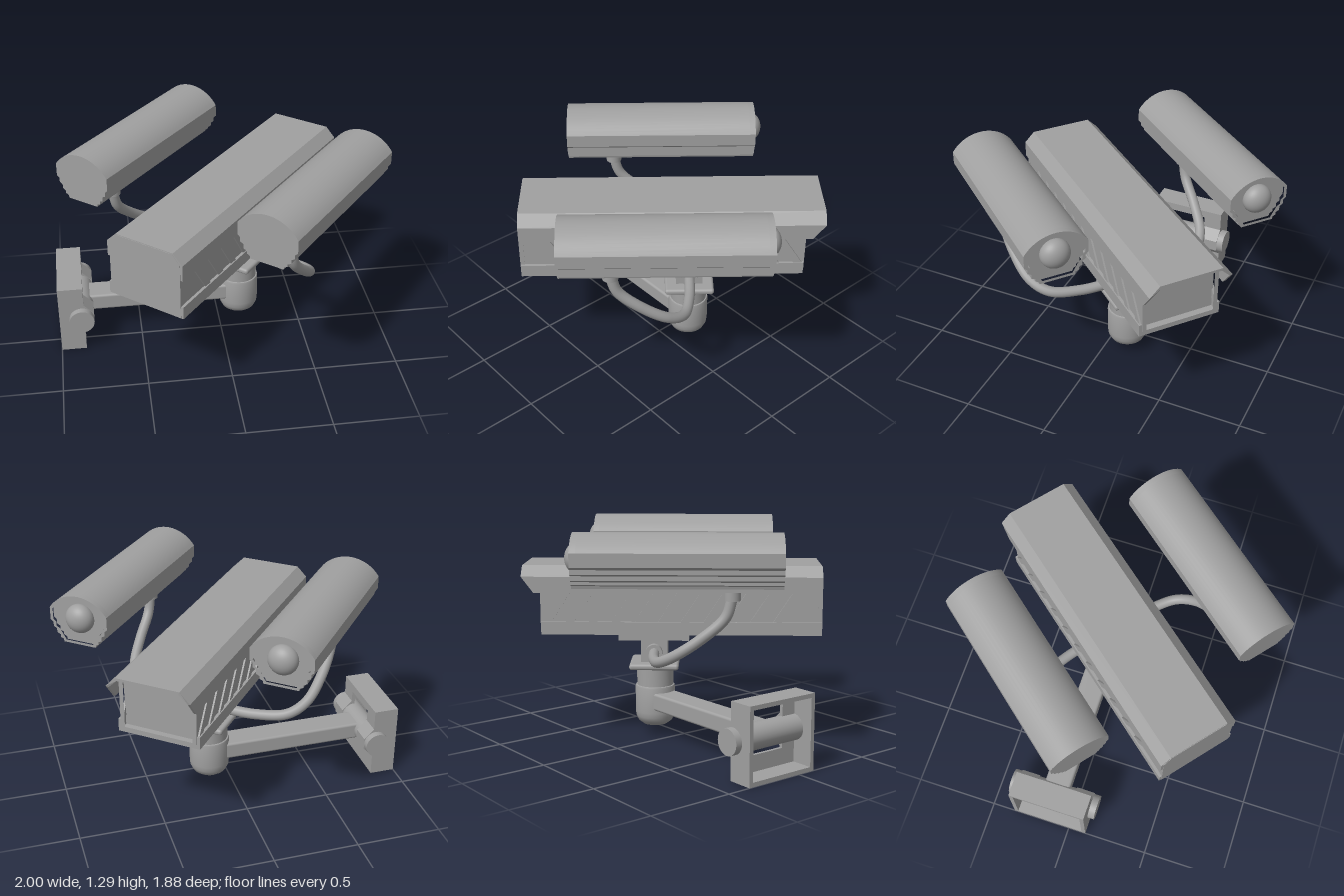
import * as THREE from 'three';
import { toCreasedNormals } from 'three/addons/utils/BufferGeometryUtils.js';
import { RoundedBoxGeometry } from 'three/addons/geometries/RoundedBoxGeometry.js';

const grey = new THREE.MeshStandardMaterial({ color: 0xa0a0a0 });

function add(parent, name, geometry, x = 0, y = 0, z = 0) {
  const mesh = new THREE.Mesh(geometry, grey);
  mesh.name = name;
  mesh.position.set(x, y, z);
  parent.add(mesh);
  return mesh;
}

const box = (w, h, d) => new THREE.BoxGeometry(w, h, d);
const cyl = (r, h) => new THREE.CylinderGeometry(r, r, h, 32);
const polygon = (pts) => new THREE.Shape(pts.map(([x, y]) => new THREE.Vector2(x, y)));

// Right half of an outline, listed top to bottom, completed by reflection
const mirrored = (half) => polygon([...half, ...half.slice().reverse().map(([x, y]) => [-x, y])]);

// Extrude a shape in x/y from z0 to z1
function prism(shape, z0, z1) {
  const g = new THREE.ExtrudeGeometry(shape, { depth: z1 - z0, bevelEnabled: false });
  return g.translate(0, 0, z0);
}

// Upper arc of the lamp, from its crown to its side
function arc(r, side, n = 10) {
  const end = Math.asin(side / r);
  return Array.from({ length: n }, (_, i) => {
    const a = end * (i + 0.5) / (n - 0.5);
    return [r * Math.sin(a), 1.077 + r * Math.cos(a)];
  });
}

function createLamp(side) {
  const lamp = new THREE.Group();
  lamp.name = side > 0 ? 'leftLamp' : 'rightLamp';
  lamp.position.x = side * 0.605;

  // Finned body with an arched top
  const outline = [...arc(0.218, 0.18), [0.18, 1.125], [0.163, 1.11], [0.163, 1.085], [0.143, 1.075],
    [0.143, 1.05], [0.122, 1.04], [0.122, 1.024], [0.104, 1.016], [0.1, 1.0]];
  add(lamp, 'lampBody', toCreasedNormals(prism(mirrored(outline), -0.375, 0.73), 0.4));

  // Raised rim around the lens
  const rim = mirrored(outline);
  rim.holes.push(mirrored([...arc(0.2, 0.162), [0.162, 1.13], [0.145, 1.115], [0.145, 1.09],
    [0.125, 1.08], [0.1, 1.04], [0.085, 1.015]]));
  add(lamp, 'lensRim', toCreasedNormals(prism(rim, -0.41, -0.375), 0.4));
  add(lamp, 'lensDome', new THREE.SphereGeometry(0.085, 32, 20), 0, 1.155, -0.39).scale.z = 0.78;

  // Underside details and hose connector
  add(lamp, 'hatch', box(0.1, 0.012, 0.1), 0, 0.998, -0.02);
  for (const x of [-0.03, 0.03]) add(lamp, 'hatchScrew', cyl(0.012, 0.012), x, 0.998, -0.17);
  add(lamp, 'connectorPlate', box(0.12, 0.03, 0.2), 0, 0.99, 0.44);
  add(lamp, 'connector', cyl(0.046, 0.055), 0, 0.952, 0.455);
  return lamp;
}

function createHousing() {
  const housing = new THREE.Group();
  housing.name = 'cameraHousing';

  // Folded roof with side edges cut back above the window
  const roof = prism(polygon([[0.245, 0.905], [0.245, 1.0], [0.185, 1.06], [-0.185, 1.06], [-0.245, 1.0],
    [-0.245, 0.905], [-0.23, 0.905], [-0.23, 0.993], [-0.178, 1.044], [0.178, 1.044], [0.23, 0.993], [0.23, 0.905]]),
  -0.763, 0.983);
  const p = roof.attributes.position;
  for (let i = 0; i < p.count; i++) {
    if (p.getZ(i) < 0 && p.getY(i) < 1) p.setZ(i, p.getZ(i) + (1 - p.getY(i)) * 0.75);
  }
  roof.computeVertexNormals();
  add(housing, 'roof', roof);

  // Body, window frame, pane and rear plate
  const section = [[0.178, 1.044], [0.228, 0.993], [0.228, 0.67]];
  add(housing, 'body', prism(mirrored(section), -0.6, 0.96));
  const frame = mirrored(section);
  frame.holes.push(mirrored([[0.165, 1.02], [0.203, 0.98], [0.203, 0.695]]));
  add(housing, 'windowFrame', prism(frame, -0.655, -0.6));
  add(housing, 'rearPlate', prism(mirrored([[0.18, 1.055], [0.23, 1.0], [0.23, 0.662]]), 0.96, 0.986));

  // Base tray, a shallow channel under the body
  const tray = mirrored([[0.225, 0.68], [0.225, 0.735], [0.245, 0.735], [0.245, 0.66]]);
  add(housing, 'baseTray', prism(tray, -0.65, 0.983));

  // Slanted louvres along both sides
  const louvre = prism(polygon([[0, 0.735], [0.05, 0.735], [-0.06, 0.905], [-0.11, 0.905]]), -0.008, 0.008);
  louvre.rotateY(Math.PI / 2);
  for (const side of [-1, 1]) {
    for (let i = 0; i < 11; i++) add(housing, 'louvre', louvre, side * 0.23, 0, 0.75 - i * 0.134);
  }

  // Knobs below the tray
  for (const [x, z, r] of [[0.1, -0.56, 0.033], [-0.06, -0.56, 0.012], [0, -0.43, 0.033]]) {
    add(housing, 'knob', cyl(r, 0.035), x, 0.646, z);
  }
  return housing;
}

// Wall bracket, open at the wall side, with ears holding the hinge pin
function createBracket() {
  const bracket = new THREE.Group();
  bracket.name = 'wallBracket';
  bracket.position.z = -0.125;
  const rect = (w, y0, y1) => polygon([[-w, y0], [w, y0], [w, y1], [-w, y1]]);
  const rim = rect(0.235, 0, 0.44);
  rim.holes.push(rect(0.21, 0.025, 0.415));
  const face = rect(0.235, 0, 0.44);
  face.holes.push(rect(0.12, 0.12, 0.39));
  add(bracket, 'bracketRim', prism(rim, -1, -0.87).rotateY(Math.PI / 2));
  add(bracket, 'bracketFace', prism(face, -0.87, -0.85).rotateY(Math.PI / 2));
  const ear = polygon([[-0.87, 0.12], [-0.85, 0.13], [-0.79, 0.19], [-0.79, 0.26], [-0.85, 0.32], [-0.87, 0.33]]);
  add(bracket, 'ear', prism(ear, 0.12, 0.235));
  add(bracket, 'ear', prism(ear, -0.235, -0.12));
  add(bracket, 'hingePin', cyl(0.075, 0.55).rotateX(Math.PI / 2), -0.865, 0.225, 0);
  return bracket;
}

export function createModel() {
  const model = new THREE.Group();
  model.name = 'surveillanceCamera';
  model.add(createBracket());
  add(model, 'arm', new RoundedBoxGeometry(0.91, 0.105, 0.16, 2, 0.015), -0.4, 0.223, -0.125);

  // Post with a rounded foot
  const profile = [[0, 0.06], [0.04, 0.06], [0.075, 0.068], [0.103, 0.09], [0.117, 0.12], [0.12, 0.15],
    [0.12, 0.3], [0.117, 0.31], [0.11, 0.312], [0.11, 0.43]].map(([x, y]) => new THREE.Vector2(x, y));
  add(model, 'post', toCreasedNormals(new THREE.LatheGeometry(profile, 40), 0.6), 0.128, 0, -0.125);

  // Everything above the post turns with the pan head
  const head = new THREE.Group();
  head.name = 'panHead';
  head.position.set(0.13, 0, -0.125);
  head.rotation.y = -0.696;
  model.add(head);
  add(head, 'flange', new RoundedBoxGeometry(0.295, 0.037, 0.295, 3, 0.016), 0, 0.442, 0);
  add(head, 'neck', box(0.16, 0.16, 0.16), 0, 0.53, 0);
  add(head, 'lowerMount', box(0.22, 0.035, 0.42), 0, 0.617, 0);
  add(head, 'upperMount', box(0.25, 0.028, 0.54), 0, 0.648, 0);
  head.add(createHousing());

  // Lamps with their curved support pipes
  for (const side of [-1, 1]) {
    head.add(createLamp(side));
    const path = [[0.08, 0.525, 0], [0.3, 0.527, 0.01], [0.48, 0.55, 0.05], [0.565, 0.605, 0.14],
      [0.6, 0.71, 0.29], [0.605, 0.83, 0.42], [0.605, 0.94, 0.455]].map(([x, y, z]) => new THREE.Vector3(side * x, y, z));
    add(head, 'pipe', new THREE.TubeGeometry(new THREE.CatmullRomCurve3(path), 64, 0.031, 16));
    add(head, 'pipeSocket', cyl(0.05, 0.05).rotateZ(Math.PI / 2), side * 0.095, 0.525, 0);
  }
  return model;
}
